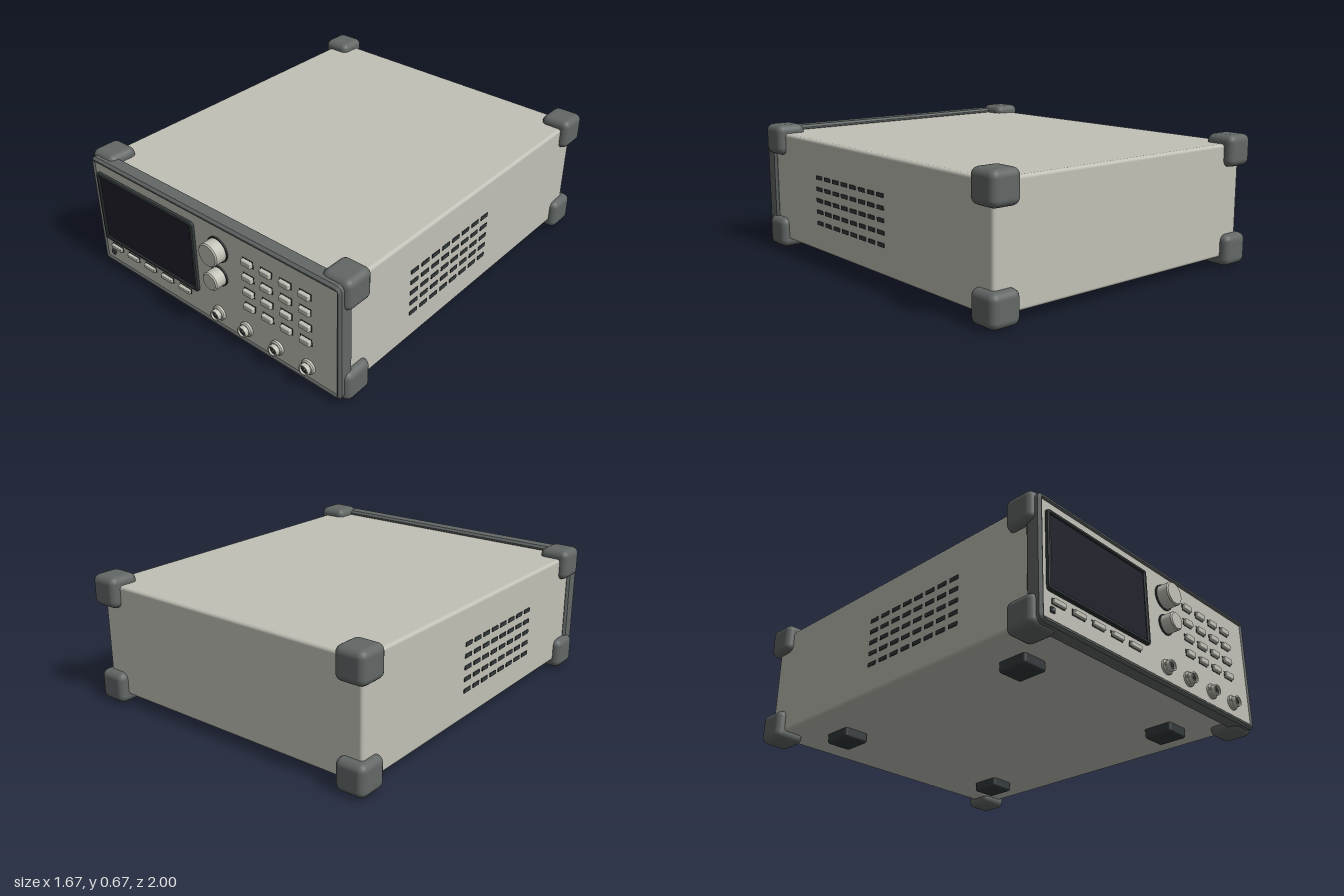
import * as THREE from 'three';
import { RoundedBoxGeometry } from 'three/addons/geometries/RoundedBoxGeometry.js';

const mat = (name, color) => {
  const m = new THREE.MeshStandardMaterial({ color });
  m.name = name;
  return m;
};

export function createModel() {
  const root = new THREE.Group();
  root.name = 'benchInstrument';
  const beige = mat('warmGrey', 0xc2c1b7);
  const grey = mat('rubberGrey', 0x626766);
  const dark = mat('darkGrey', 0x343a3c);
  const glass = mat('screenGlass', 0x20202b);

  const add = (name, geo, m, x, y, z, parent = root) => {
    const mesh = new THREE.Mesh(geo, m);
    mesh.name = name;
    mesh.position.set(x, y, z);
    parent.add(mesh);
    return mesh;
  };
  const group = (name) => {
    const g = new THREE.Group();
    g.name = name;
    root.add(g);
    return g;
  };
  const rounded = (w, h, d, r, s = 2) => new RoundedBoxGeometry(w, h, d, s, r);
  const box = (w, h, d) => new THREE.BoxGeometry(w, h, d);
  // Rectangular frame, bevelled on its edges, running forward from z = 0
  const frame = (w, h, iw, ih, depth, bevel, r) => {
    const rect = (P, a, b, c) => {
      const p = new P();
      p.moveTo(-a + c, -b).lineTo(a - c, -b).quadraticCurveTo(a, -b, a, -b + c);
      p.lineTo(a, b - c).quadraticCurveTo(a, b, a - c, b);
      p.lineTo(-a + c, b).quadraticCurveTo(-a, b, -a, b - c);
      p.lineTo(-a, -b + c).quadraticCurveTo(-a, -b, -a + c, -b);
      return p;
    };
    const s = rect(THREE.Shape, w / 2 - bevel, h / 2 - bevel, r);
    s.holes.push(rect(THREE.Path, iw / 2 + bevel, ih / 2 + bevel, r * 0.4));
    const geo = new THREE.ExtrudeGeometry(s, {
      depth: depth - 2 * bevel, bevelSize: bevel, bevelThickness: bevel,
      bevelSegments: 1, curveSegments: 4,
    });
    return geo.translate(0, 0, bevel);
  };
  // Turned part whose axis points forward; points are [radius, z]
  const turned = (pts, seg = 32) => {
    const geo = new THREE.LatheGeometry(pts.map(([r, z]) => new THREE.Vector2(r, z)), seg);
    const flat = geo.toNonIndexed();
    flat.computeVertexNormals();
    return flat.rotateX(Math.PI / 2);
  };

  // Case, front bezel and front panel
  add('case', rounded(1.592, 0.572, 1.83, 0.016), beige, 0, 0.336, -0.041);
  add('frontBezel', frame(1.62, 0.62, 1.565, 0.555, 0.085, 0.012, 0.02), grey, 0, 0.335, 0.856);
  add('frontPanel', box(1.58, 0.57, 0.06), beige, 0, 0.335, 0.903);

  // Corner guards
  const guards = group('cornerGuards');
  const guardGeo = rounded(0.158, 0.158, 0.16, 0.035, 3);
  for (const x of [-0.754, 0.754])
    for (const y of [0.086, 0.587])
      for (const z of [-0.92, 0.835]) add('cornerGuard', guardGeo, grey, x, y, z, guards);

  // Feet
  const feet = group('feet');
  const footGeo = rounded(0.14, 0.07, 0.16, 0.014);
  for (const x of [-0.537, 0.537])
    for (const z of [-0.648, 0.585]) add('foot', footGeo, dark, x, 0.035, z, feet);

  // Side vents
  const vents = group('sideVents');
  const ventGeo = box(0.008, 0.02, 0.055);
  for (const x of [-0.796, 0.796])
    for (let row = 0; row < 5; row++)
      for (let col = 0; col < 8; col++)
        add('ventSlot', ventGeo, dark, x, 0.198 + row * 0.059, 0.413 - col * 0.0797, vents);

  // Display
  add('screenFrame', frame(0.696, 0.392, 0.656, 0.352, 0.03, 0.005, 0.01), dark, -0.42, 0.375, 0.922);
  add('screen', box(0.67, 0.365, 0.008), glass, -0.42, 0.375, 0.939);

  // Soft keys and power key below the display
  const softKeys = group('softKeys');
  for (let i = 0; i < 5; i++) {
    const x = -0.696 + i * 0.1294;
    add('keySurround', box(0.084, 0.03, 0.006), dark, x, 0.14, 0.932, softKeys);
    add('softKey', rounded(0.076, 0.023, 0.03, 0.004), beige, x, 0.14, 0.934, softKeys);
  }
  add('powerKey', rounded(0.026, 0.026, 0.03, 0.004), dark, -0.735, 0.097, 0.928);
  add('powerKeyCap', box(0.015, 0.015, 0.006), grey, -0.735, 0.097, 0.942);

  // Keypad
  const keypad = group('keypad');
  for (let row = 0; row < 4; row++)
    for (let col = 0; col < 4; col++) {
      const x = 0.272 + col * 0.1133, y = 0.513 - row * 0.0833;
      add('keySurround', box(0.068, 0.037, 0.006), dark, x, y, 0.932, keypad);
      add('key', rounded(0.061, 0.031, 0.04, 0.006), beige, x, y, 0.932, keypad);
    }

  // Knobs with dark collars
  const knobs = group('knobs');
  for (const [y, r] of [[0.495, 0.06], [0.348, 0.047]]) {
    add('knobCollar', turned([[r + 0.006, 0], [r + 0.006, 0.008], [0, 0.008]]), dark, 0.08, y, 0.932, knobs);
    add('knob', turned([[r, 0], [r, 0.062], [r - 0.006, 0.068], [0, 0.068]]), beige, 0.08, y, 0.932, knobs);
  }

  // Coaxial sockets
  const sockets = group('sockets');
  const flange = turned([[0.038, 0], [0.038, 0.012], [0.032, 0.018], [0.026, 0.018]], 24);
  const barrel = turned([[0.028, 0], [0.028, 0.04], [0.021, 0.04], [0.021, 0.02]], 24);
  const core = turned([[0.021, 0], [0.021, 0.03], [0, 0.03]], 24);
  const pin = turned([[0.006, 0], [0.006, 0.036], [0, 0.036]], 12);
  for (const x of [0.06, 0.24, 0.435, 0.623]) {
    add('socketFlange', flange, beige, x, 0.12, 0.932, sockets);
    add('socketBarrel', barrel, beige, x, 0.12, 0.932, sockets);
    add('socketCore', core, dark, x, 0.12, 0.932, sockets);
    add('socketPin', pin, grey, x, 0.12, 0.932, sockets);
    add('socketLug', box(0.074, 0.01, 0.012), beige, x, 0.12, 0.948, sockets);
  }
  return root;
}
